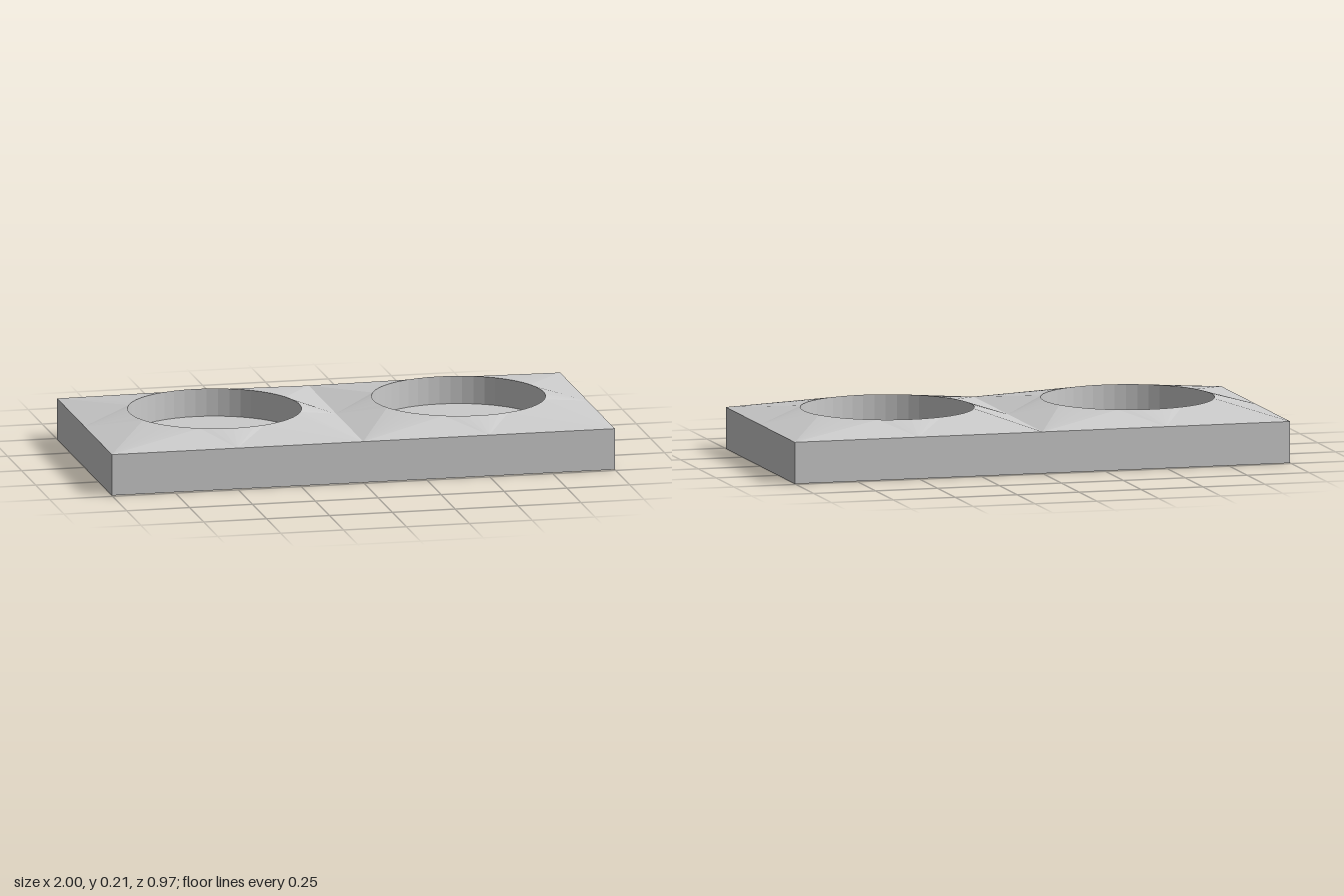
import * as THREE from 'three';

const W = 1, D = 0.485, WALL = 0.163, RIM = 0.21, FLOOR = 0.1;
const R = 0.338, CX = 0.485, CZ = 0.008, SEG = 48;

const material = new THREE.MeshStandardMaterial({ color: 0xcccccc, flatShading: true, side: THREE.DoubleSide });

function part(name, geometry) {
  const mesh = new THREE.Mesh(geometry, material);
  mesh.name = name;
  return mesh;
}

// Sloped sheet from a rectangular tile edge up to a circular rim,
// as eight fans (corners and edge midpoints) joined by single triangles
function slopedTop(side) {
  const v = [];
  const rim = (j) => {
    const a = (j / SEG) * Math.PI * 2;
    return [side * CX + R * Math.cos(a), RIM, CZ + R * Math.sin(a)];
  };
  const edge = (i) => {
    const a = (i * Math.PI) / 4;
    return [side * 0.5 + 0.5 * Math.sign(Math.round(Math.cos(a) * 2)), WALL, D * Math.sign(Math.round(Math.sin(a) * 2))];
  };
  const step = SEG / 8;
  for (let i = 0; i < 8; i++) {
    const start = i * step - step / 2;
    for (let j = start; j < start + step; j++) v.push(...edge(i), ...rim(j), ...rim(j + 1));
    v.push(...edge(i), ...rim(start + step), ...edge(i + 1));
  }
  const g = new THREE.BufferGeometry();
  g.setAttribute('position', new THREE.Float32BufferAttribute(v, 3));
  g.computeVertexNormals();
  return g;
}

export function createModel() {
  const model = new THREE.Group();
  model.name = 'twoCupTray';

  // Outer walls, open underneath
  const walls = [
    ['frontWall', 2 * W, 0, D, 0],
    ['backWall', 2 * W, 0, -D, Math.PI],
    ['leftWall', 2 * D, W, 0, Math.PI / 2],
    ['rightWall', 2 * D, -W, 0, -Math.PI / 2],
  ];
  for (const [name, length, x, z, turn] of walls) {
    const wall = part(name, new THREE.PlaneGeometry(length, WALL));
    wall.position.set(x, WALL / 2, z);
    wall.rotation.y = turn;
    model.add(wall);
  }

  // Two tiles, each with a sloped top and a recessed round cup
  for (const side of [1, -1]) {
    const tile = new THREE.Group();
    tile.name = side > 0 ? 'leftTile' : 'rightTile';
    tile.add(part('slopedTop', slopedTop(side)));

    // Quarter turn lines the facets up with the rim
    const cupWall = part('cupWall', new THREE.CylinderGeometry(R, R, RIM - FLOOR, SEG, 1, true));
    cupWall.position.set(side * CX, (RIM + FLOOR) / 2, CZ);

    const cupFloor = part('cupFloor', new THREE.CircleGeometry(R, SEG));
    cupFloor.rotation.x = -Math.PI / 2;
    cupFloor.position.set(side * CX, FLOOR, CZ);

    tile.add(cupWall, cupFloor);
    model.add(tile);
  }
  return model;
}
